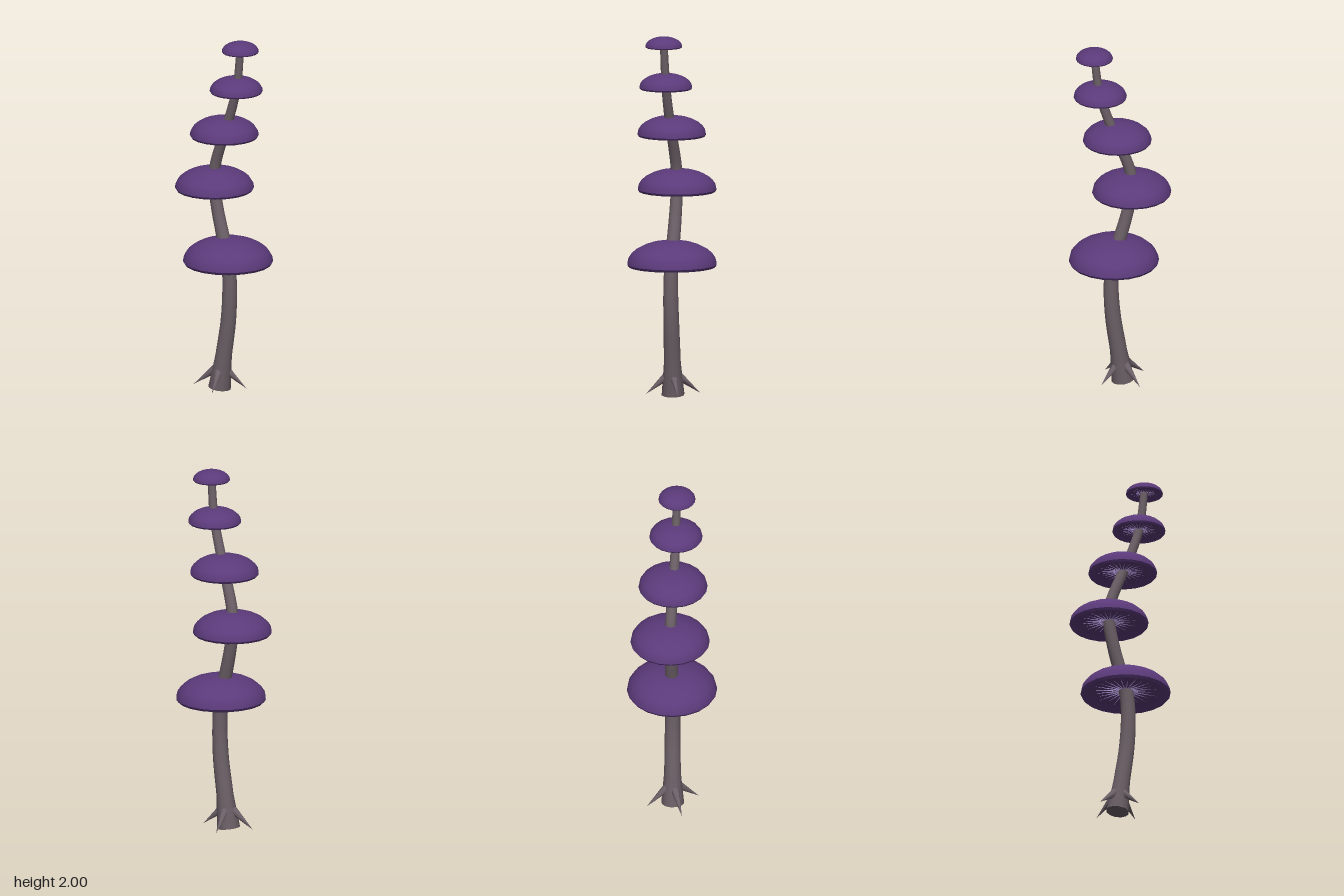
import * as THREE from 'three';
import { mergeGeometries } from 'three/addons/utils/BufferGeometryUtils.js';

const capMat = new THREE.MeshStandardMaterial({ color: 0x5b3a7a });
capMat.name = 'cap purple';
const stemMat = new THREE.MeshStandardMaterial({ color: 0x6c6168 });
stemMat.name = 'stem grey';
const gillMat = new THREE.MeshStandardMaterial({ color: 0xb09ad8 });
gillMat.name = 'gill lavender';

// Cap centres (x, z), rim height, radius and dome height, from bottom to top
const CAPS = [
  { x: 0.03, z: 0.006, y: 0.722, r: 0.246, h: 0.145 },
  { x: -0.06, z: -0.037, y: 1.122, r: 0.216, h: 0.126 },
  { x: 0.008, z: 0.004, y: 1.437, r: 0.188, h: 0.113 },
  { x: 0.09, z: 0.05, y: 1.708, r: 0.145, h: 0.087 },
  { x: 0.118, z: 0.066, y: 1.94, r: 0.101, h: 0.06 },
];

const v3 = (x, y, z) => new THREE.Vector3(x, y, z);

function mesh(name, geometry, material) {
  const m = new THREE.Mesh(geometry, material);
  m.name = name;
  return m;
}

// Cone running from its base centre to its tip
function spike(from, to, radius, sides) {
  const dir = to.clone().sub(from);
  const len = dir.length();
  const g = new THREE.ConeGeometry(radius, len, sides);
  g.translate(0, len / 2, 0);
  g.applyQuaternion(new THREE.Quaternion().setFromUnitVectors(v3(0, 1, 0), dir.normalize()));
  return g.translate(from.x, from.y, from.z);
}

// Winding stem that tapers towards the top
function makeStem() {
  const group = new THREE.Group();
  group.name = 'stem';
  const curve = new THREE.CatmullRomCurve3([
    v3(-0.022, 0.012, -0.008), v3(0.004, 0.2, 0), v3(0.033, 0.4, 0.01),
    v3(0.042, 0.58, 0.015), v3(0.033, 0.73, 0.01), v3(-0.003, 0.87, -0.008),
    v3(-0.036, 1.0, -0.024), v3(-0.06, 1.14, -0.035), v3(-0.056, 1.25, -0.032),
    v3(0.003, 1.44, 0.002), v3(0.042, 1.55, 0.024), v3(0.088, 1.71, 0.048),
    v3(0.103, 1.8, 0.056), v3(0.118, 1.965, 0.066),
  ]);
  const steps = 64, sides = 12;
  const tube = new THREE.TubeGeometry(curve, steps, 1, sides);
  const pos = tube.attributes.position, p = v3(0, 0, 0);
  for (let i = 0; i <= steps; i++) {
    const t = i / steps, c = curve.getPointAt(t);
    const radius = 0.049 - 0.028 * t + 0.014 * Math.max(0, 1 - t / 0.09);
    for (let j = 0; j <= sides; j++) {
      const k = i * (sides + 1) + j;
      p.fromBufferAttribute(pos, k).sub(c).multiplyScalar(radius).add(c);
      pos.setXYZ(k, p.x, p.y, p.z);
    }
  }
  group.add(mesh('stemTube', tube, stemMat));

  const foot = mesh('stemFoot', new THREE.CircleGeometry(0.063, sides), stemMat);
  foot.position.copy(curve.getPointAt(0));
  foot.quaternion.setFromUnitVectors(v3(0, 0, 1), curve.getTangentAt(0).negate());
  group.add(foot);
  return group;
}

// Four pointed roots around the foot
function makeRoots() {
  const group = new THREE.Group();
  group.name = 'roots';
  for (let i = 0; i < 4; i++) {
    const a = i * Math.PI / 2, c = Math.cos(a), s = Math.sin(a);
    const from = v3(-0.015 + 0.032 * c, 0.115, -0.005 + 0.032 * s);
    const to = v3(-0.02 + 0.15 * c, 0.018, -0.008 + 0.15 * s);
    group.add(mesh('root' + (i + 1), spike(from, to, 0.024, 8), stemMat));
  }
  return group;
}

function makeCap({ x, z, y, r, h }, index) {
  const group = new THREE.Group();
  group.name = 'cap' + (index + 1);
  group.position.set(x, y, z);
  const v2 = (a, b) => new THREE.Vector2(a * r, b * h);

  // Rounded dome
  const dome = [];
  for (let i = 0; i <= 7; i++) {
    const a = i / 7 * Math.PI / 2;
    dome.push(v2(i === 7 ? 0 : Math.cos(a), 0.1 + 0.9 * Math.sin(a)));
  }
  group.add(mesh('dome', new THREE.LatheGeometry(dome, 20), capMat));

  // Narrow lip under the dome, then the hollow underside
  group.add(mesh('lip', new THREE.LatheGeometry([v2(0.96, 0), v2(1, 0.1)], 20), capMat));
  const under = [v2(0, 0.2), v2(0.78, 0.2), v2(0.86, 0.1), v2(0.96, 0)];
  group.add(mesh('underside', new THREE.LatheGeometry(under, 20), capMat));

  // Thin gills radiating from the stem
  const gills = [];
  for (let i = 0; i < 24; i++) {
    const a = i / 24 * Math.PI * 2, c = Math.cos(a) * r, s = Math.sin(a) * r;
    const end = i % 2 ? 0.66 : 0.74;
    gills.push(spike(v3(0.1 * c, 0.19 * h, 0.1 * s), v3(end * c, 0.18 * h, end * s), 0.02 * r, 4));
  }
  group.add(mesh('gills', mergeGeometries(gills), gillMat));
  return group;
}

export function createModel() {
  const model = new THREE.Group();
  model.name = 'tieredMushroom';
  model.add(makeStem(), makeRoots());
  CAPS.forEach((cap, i) => model.add(makeCap(cap, i)));
  return model;
}
